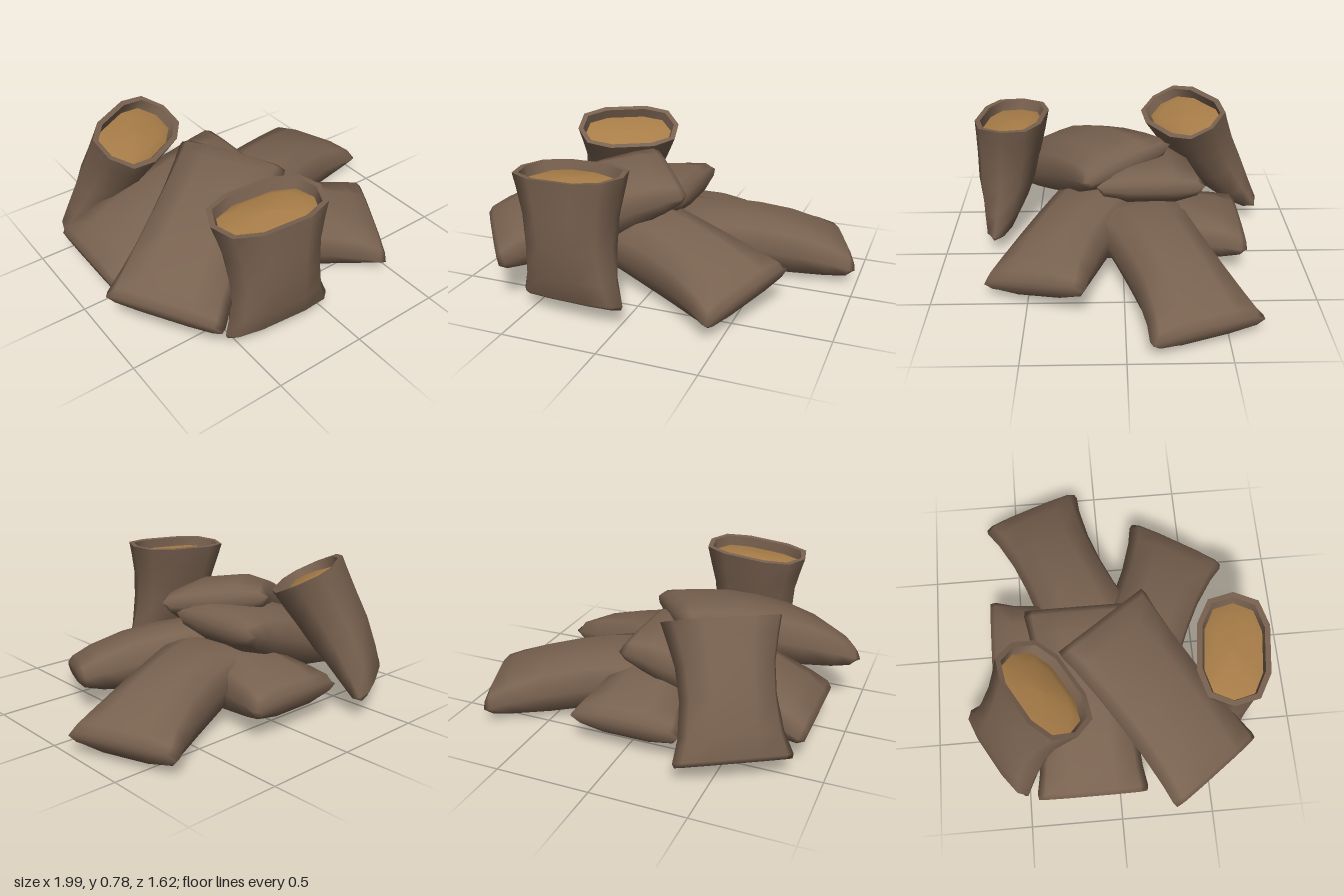
import * as THREE from 'three';

const SIDES = 10;
const cloth = new THREE.MeshStandardMaterial({ name: 'brown sackcloth', color: 0x78614f });
const grainMat = new THREE.MeshStandardMaterial({ name: 'golden grain', color: 0xa87d48 });

const vec = (p) => new THREE.Vector3(...p);
const soft = (v) => Math.sign(v) * Math.pow(Math.abs(v), 0.74);

// Axes of a sack: start point, length direction, wide direction, thick direction
function makeFrame(start, end, wide) {
  const origin = vec(start);
  const along = vec(end).sub(origin);
  const length = along.length();
  along.normalize();
  const u = vec(wide);
  u.addScaledVector(along, -u.dot(along)).normalize();
  const v = new THREE.Vector3().crossVectors(along, u);
  return { origin, along, length, u, v };
}

// Skin through rounded rings; each station is [distance, halfWidth, halfThickness, tip]
function loft(frame, stations, name, material) {
  const pos = [];
  const index = [];
  stations.forEach(([d, w, h, tip = 0], i) => {
    for (let j = 0; j < SIDES; j++) {
      const a = (j / SIDES) * Math.PI * 2;
      const p = frame.origin.clone()
        .addScaledVector(frame.along, d + tip * Math.sin(a))
        .addScaledVector(frame.u, w * soft(Math.cos(a)))
        .addScaledVector(frame.v, h * soft(Math.sin(a)));
      pos.push(p.x, p.y, p.z);
      if (i === 0) continue;
      const k = (j + 1) % SIDES;
      const lo = (i - 1) * SIDES;
      const hi = i * SIDES;
      index.push(lo + j, lo + k, hi + k, lo + j, hi + k, hi + j);
    }
  });
  const geo = new THREE.BufferGeometry();
  geo.setAttribute('position', new THREE.Float32BufferAttribute(pos, 3));
  geo.setIndex(index);
  geo.computeVertexNormals();
  const mesh = new THREE.Mesh(geo, material);
  mesh.name = name;
  return mesh;
}

// Tied-off sack lying down, pinched at the waist
function closedSack(name, start, end, wide, pinch) {
  const f = makeFrame(start, end, wide);
  const waist = 0.297 - pinch;
  const half = [
    [0, 0, 0],
    [0, 0.293, 0.038],
    [0.03, 0.298, 0.078],
    [0.13, 0.297 - pinch * 0.45, 0.118],
    [0.32, 0.297 - pinch * 0.9, 0.157],
  ];
  const mirrored = half.map(([t, w, h]) => [1 - t, w, h]).reverse();
  const body = [...half, [0.5, waist, 0.166], ...mirrored].map(([t, w, h]) => [t * f.length, w, h]);
  const mesh = loft(f, body, name, cloth);
  return mesh;
}

// Standing sack with an open mouth full of grain; tip slants the mouth
function openSack(name, start, end, wide, tip) {
  const f = makeFrame(start, end, wide);
  const L = f.length;
  const body = [
    [0, 0, 0], [0, 0.285, 0.038], [0.03, 0.293, 0.07], [0.2, 0.257, 0.11], [0.45, 0.237, 0.152],
    [0.68, 0.245, 0.168], [0.87, 0.275, 0.182], [1, 0.298, 0.19, tip],
  ].map(([t, w, h, s]) => [t * L, w, h, s]);
  const g = new THREE.Group();
  g.name = name;
  g.add(
    loft(f, body, 'sackBody', cloth),
    loft(f, [[L, 0.298, 0.19, tip], [L, 0.27, 0.162, tip]], 'sackRim', cloth),
    loft(f, [[L, 0.27, 0.162, tip], [L - 0.1, 0.245, 0.144, tip]], 'sackLining', cloth),
    loft(f, [
      [L - 0.055, 0.256, 0.152, tip], [L - 0.035, 0.18, 0.105, tip], [L - 0.028, 0, 0],
    ], 'grain', grainMat),
  );
  return g;
}

export function createModel() {
  const model = new THREE.Group();
  model.name = 'sackPile';
  model.add(
    // Lowest layer
    closedSack('bottomSack', [-0.02, 0.16, -0.66], [-0.02, 0.17, 0.33], [1, 0, 0], 0.06),
    closedSack('frontSack', [0.573, 0.132, 0.467], [-0.33, 0.27, 0.05], [0.24, 0.12, -0.53], 0.06),
    closedSack('sideSack', [0.892, 0.083, -0.397], [-0.05, 0.255, -0.05], [0.2, 0, 0.55], 0.06),
    // Stacked on top
    closedSack('middleSack', [-0.88, 0.155, -0.15], [0.095, 0.452, -0.15], [0, 0, 1], 0.04),
    closedSack('topSack', [-0.825, 0.25, 0.515], [-0.02, 0.54, -0.035], [0.35, -0.07, 0.47], 0.025),
    // Open sacks
    openSack('frontOpenSack', [-0.275, 0.065, 0.69], [-0.295, 0.718, 0.612], [1, 0.03, 0.12], 0.02),
    openSack('backOpenSack', [-0.6, 0.095, -0.66], [-0.415, 0.685, -0.352], [0.53, 0, -0.31], -0.02),
  );
  return model;
}
